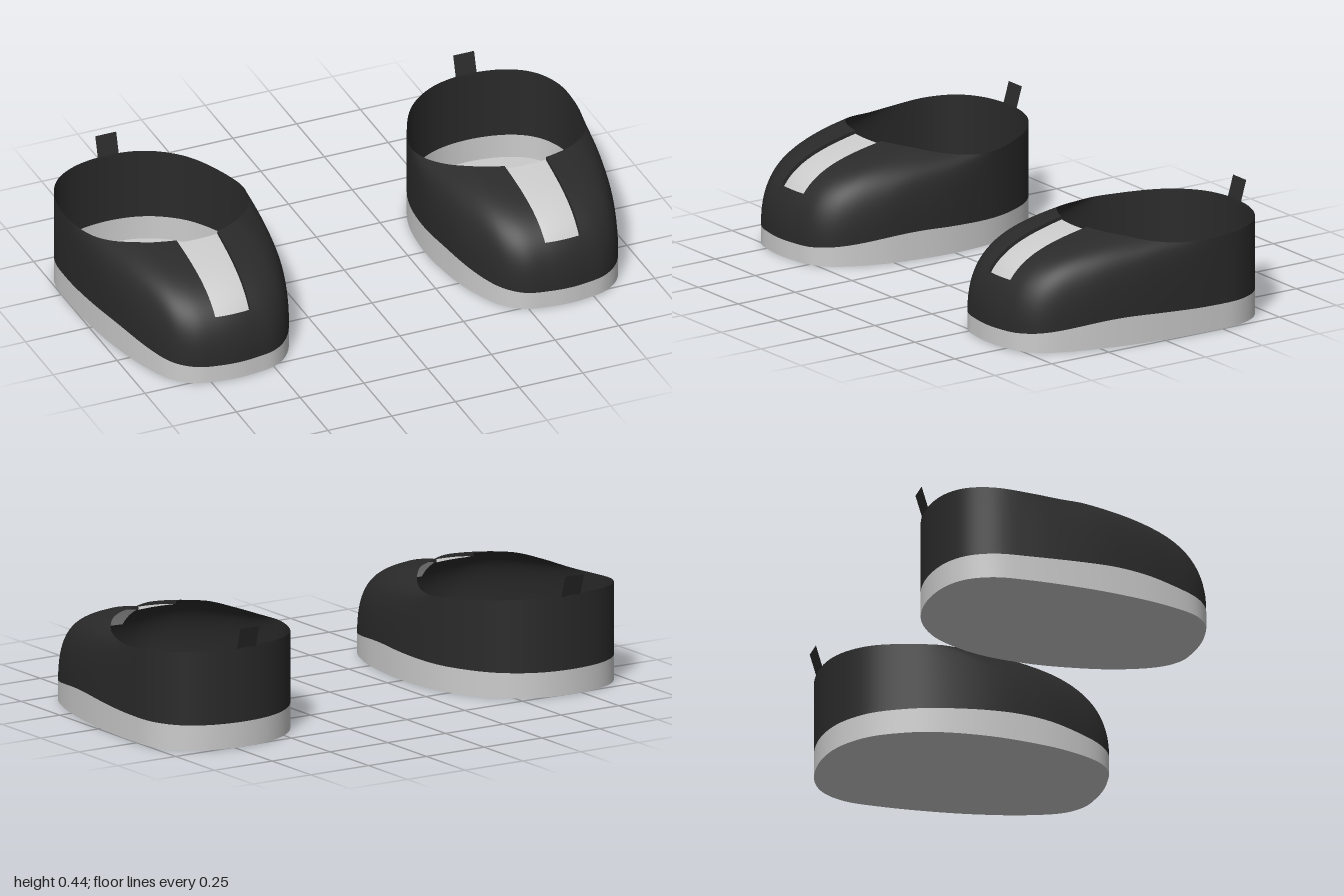
import * as THREE from 'three';

const DARK = 0x2a2a2a, GREY = 0xcccccc;

// Plan of one shoe from heel round the outer side to the toe and back:
// [sole x, sole z, collar x, collar z]
const PLAN = [
  [0.70, -0.512, 0.70, -0.512], [0.85, -0.488, 0.85, -0.488], [0.94, -0.43, 0.94, -0.43],
  [0.99, -0.335, 0.99, -0.335], [1.00, -0.20, 0.997, -0.20], [0.99, 0, 0.975, -0.08],
  [0.97, 0.15, 0.945, 0.0], [0.93, 0.32, 0.89, 0.075], [0.87, 0.455, 0.82, 0.125],
  [0.80, 0.51, 0.77, 0.143], [0.715, 0.53, 0.725, 0.154], [0.645, 0.535, 0.645, 0.16],
  [0.58, 0.53, 0.563, 0.152], [0.49, 0.51, 0.51, 0.13], [0.42, 0.45, 0.46, 0.10],
  [0.355, 0.305, 0.405, 0.04], [0.325, 0.15, 0.36, -0.035], [0.315, 0, 0.335, -0.11],
  [0.332, -0.17, 0.332, -0.17], [0.37, -0.285, 0.37, -0.285], [0.445, -0.405, 0.445, -0.405],
  [0.56, -0.485, 0.56, -0.485],
];
const STEP = 6, NU = PLAN.length * STEP, NV = 24;
const U0 = 10 * STEP, U1 = 12 * STEP, V0 = 8; // tongue slot in grid steps

const closed = (a, b) => new THREE.CatmullRomCurve3(
  PLAN.map(p => new THREE.Vector3(p[a], 0, p[b])), true);
const soleLine = closed(0, 1), collarLine = closed(2, 3);

// Height as a smooth function of z
const heights = pts => {
  const c = new THREE.SplineCurve(pts.map(p => new THREE.Vector2(...p))).getPoints(200);
  return z => {
    let i = 1;
    while (i < c.length - 1 && c[i].x < z) i++;
    const t = THREE.MathUtils.clamp((z - c[i - 1].x) / (c[i].x - c[i - 1].x), 0, 1);
    return THREE.MathUtils.lerp(c[i - 1].y, c[i].y, t);
  };
};
const seamY = heights([[-0.515, 0.093], [-0.2, 0.095], [0, 0.102], [0.13, 0.106],
  [0.25, 0.1], [0.4, 0.08], [0.54, 0.064]]);
const collarY = heights([[-0.515, 0.37], [-0.35, 0.357], [-0.2, 0.347], [-0.08, 0.348],
  [0.02, 0.362], [0.1, 0.38], [0.165, 0.386]]);

// Point on the upper: each rib curves from the sole seam up to the collar
function upperPoint(i, j) {
  const u = (((i % NU) + NU) % NU) / NU, t = j / NV;
  const a = soleLine.getPoint(u), d = collarLine.getPoint(u);
  a.y = seamY(a.z);
  d.y = collarY(d.z);
  const h = d.y - a.y;
  const b = a.clone().setY(a.y + 0.72 * h);
  const c = d.clone().lerp(a, 0.6).setY(d.y - 0.13 * h);
  return new THREE.CubicBezierCurve3(a, b, c, d).getPoint(t);
}

// The same surface moved inwards
function insetPoint(i, j, depth) {
  const du = upperPoint(i + 0.2, j).sub(upperPoint(i - 0.2, j));
  const dv = upperPoint(i, Math.min(j + 0.2, NV)).sub(upperPoint(i, j - 0.2));
  return upperPoint(i, j).addScaledVector(dv.cross(du).normalize(), -depth);
}

// Grid surface; s = -1 mirrors it to the other foot
function grid(fn, nu, nv, s, loop = false, skip = () => false) {
  const pos = [], idx = [], cols = loop ? nu : nu + 1;
  for (let j = 0; j <= nv; j++)
    for (let i = 0; i < cols; i++) {
      const p = fn(i, j);
      pos.push(p.x * s, p.y, p.z);
    }
  for (let j = 0; j < nv; j++)
    for (let i = 0; i < nu; i++) {
      if (skip(i, j)) continue;
      const a = j * cols + i, b = j * cols + (i + 1) % cols, c = a + cols, d = b + cols;
      if (s > 0) idx.push(a, c, b, b, c, d);
      else idx.push(a, b, c, b, d, c);
    }
  const g = new THREE.BufferGeometry();
  g.setAttribute('position', new THREE.Float32BufferAttribute(pos, 3));
  g.setIndex(idx);
  g.computeVertexNormals();
  return g;
}

function createShoe(s) {
  const shoe = new THREE.Group();
  const add = (name, geometry, color) => {
    const mesh = new THREE.Mesh(geometry,
      new THREE.MeshStandardMaterial({ color, side: THREE.DoubleSide }));
    mesh.name = name;
    shoe.add(mesh);
  };

  // Sole: side band and flat bottom
  add('soleBand', grid((i, j) => {
    const p = soleLine.getPoint(i / NU);
    return p.setY(seamY(p.z) * j / 2);
  }, NU, 2, s, true), GREY);
  const outline = [];
  for (let i = 0; i < NU; i++) {
    const p = soleLine.getPoint(i / NU);
    outline.push(new THREE.Vector2(p.x * s, p.z));
  }
  add('soleBottom', new THREE.ShapeGeometry(new THREE.Shape(outline)).rotateX(Math.PI / 2), GREY);

  // Upper with the tongue slot left open
  add('upper', grid(upperPoint, NU, NV, s, true,
    (i, j) => i >= U0 && i < U1 && j >= V0), DARK);

  // Tongue, slightly sunk into the slot
  const depth = 0.013;
  add('tongue', grid((i, j) => insetPoint(U0 + i, V0 + j, depth), U1 - U0, NV - V0, s), GREY);

  // Lip round the slot
  const rim = [];
  for (let j = NV; j > V0; j--) rim.push([U0, j]);
  for (let i = U0; i < U1; i++) rim.push([i, V0]);
  for (let j = V0; j <= NV; j++) rim.push([U1, j]);
  add('slotLip', grid((i, j) => insetPoint(...rim[i], depth * j), rim.length - 1, 1, s), DARK);

  // Pull tab at the heel
  add('heelTab', grid((i, j) => new THREE.Vector3(0.743 - 0.082 * i,
    0.365 + 0.08 * j, -0.511 - 0.024 * j), 1, 1, s), DARK);
  return shoe;
}

export function createModel() {
  const model = new THREE.Group();
  for (const s of [1, -1]) {
    const shoe = createShoe(s);
    shoe.name = s > 0 ? 'leftShoe' : 'rightShoe';
    model.add(shoe);
  }
  return model;
}
